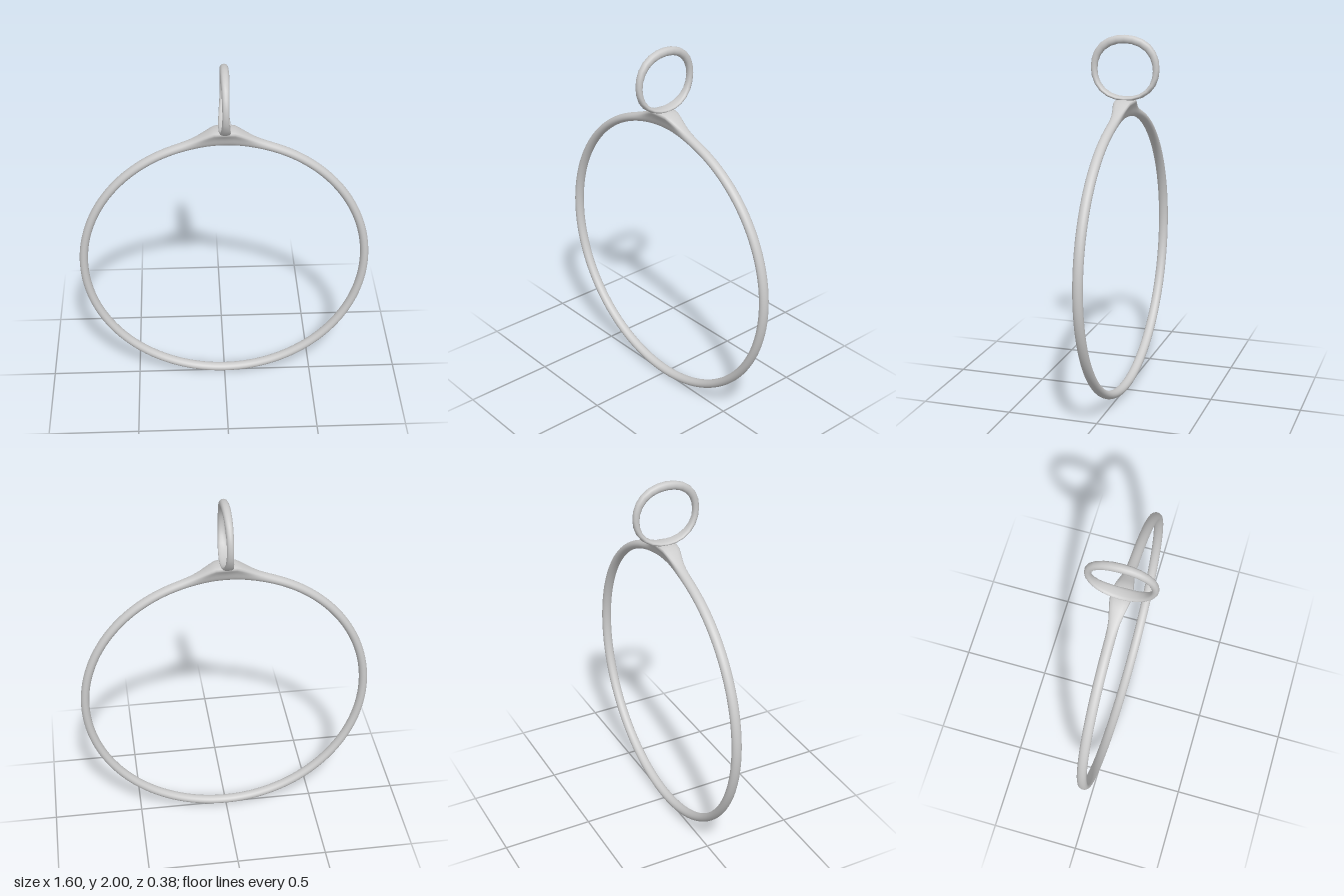
import * as THREE from 'three';

// Closed ring surface from a point rule: u runs round the ring, v round its section
function sweepLoop(name, nu, nv, point) {
  const pos = [], index = [];
  for (let i = 0; i < nu; i++) {
    for (let j = 0; j < nv; j++) {
      pos.push(...point((i / nu) * Math.PI * 2, (j / nv) * Math.PI * 2));
      const i2 = (i + 1) % nu, j2 = (j + 1) % nv;
      const a = i * nv + j, b = i2 * nv + j, c = i2 * nv + j2, d = i * nv + j2;
      index.push(a, b, c, a, c, d);
    }
  }
  const geo = new THREE.BufferGeometry();
  geo.setAttribute('position', new THREE.Float32BufferAttribute(pos, 3));
  geo.setIndex(index);
  geo.computeVertexNormals();
  const mesh = new THREE.Mesh(geo, new THREE.MeshStandardMaterial({ color: 0xcccccc }));
  mesh.name = name;
  return mesh;
}

// Large hoop: round wire that swells into a flared saddle at the top
function hoopPoint(u, v) {
  const inner = 0.755, centreY = 0.802;
  const x = inner * Math.cos(u);
  const swell = Math.sin(u) > 0 ? Math.exp(-((x / 0.115) ** 2)) : 0;
  const height = 0.046 + Math.min(0.065 * swell, 0.056);
  const f = (1 + Math.cos(v)) / 2;
  const r = inner + height * f;
  const z = Math.sin(v) * (0.027 + 0.095 * swell * f ** 4);
  return [r * Math.cos(u), centreY + r * Math.sin(u), z];
}

// Small hanging loop: set crosswise, thicker at its crown and wider at its foot
function loopPoint(u, v) {
  const c = Math.cos(u), s = Math.sin(u);
  const f = (1 + Math.cos(v)) / 2;
  // slightly squared ovals for the inner and outer outlines
  const square = 1 + 0.03 * Math.sin(2 * u) ** 2;
  const y = THREE.MathUtils.lerp(1.8135 + 0.1415 * c * square, 1.825 + 0.175 * c * square, f);
  const z = THREE.MathUtils.lerp(0.155 * s * square, 0.19 * s * square, f);
  const halfWidth = 0.018 + (c > 0 ? 0.005 : 0.015) * c * c;
  const sv = Math.sin(v);
  return [halfWidth * Math.sign(sv) * Math.abs(sv) ** 0.8, y, z];
}

export function createModel() {
  const group = new THREE.Group();
  group.name = 'hoopPendant';
  group.add(sweepLoop('hoop', 192, 24, hoopPoint));
  group.add(sweepLoop('hangingLoop', 24, 16, loopPoint));
  return group;
}
